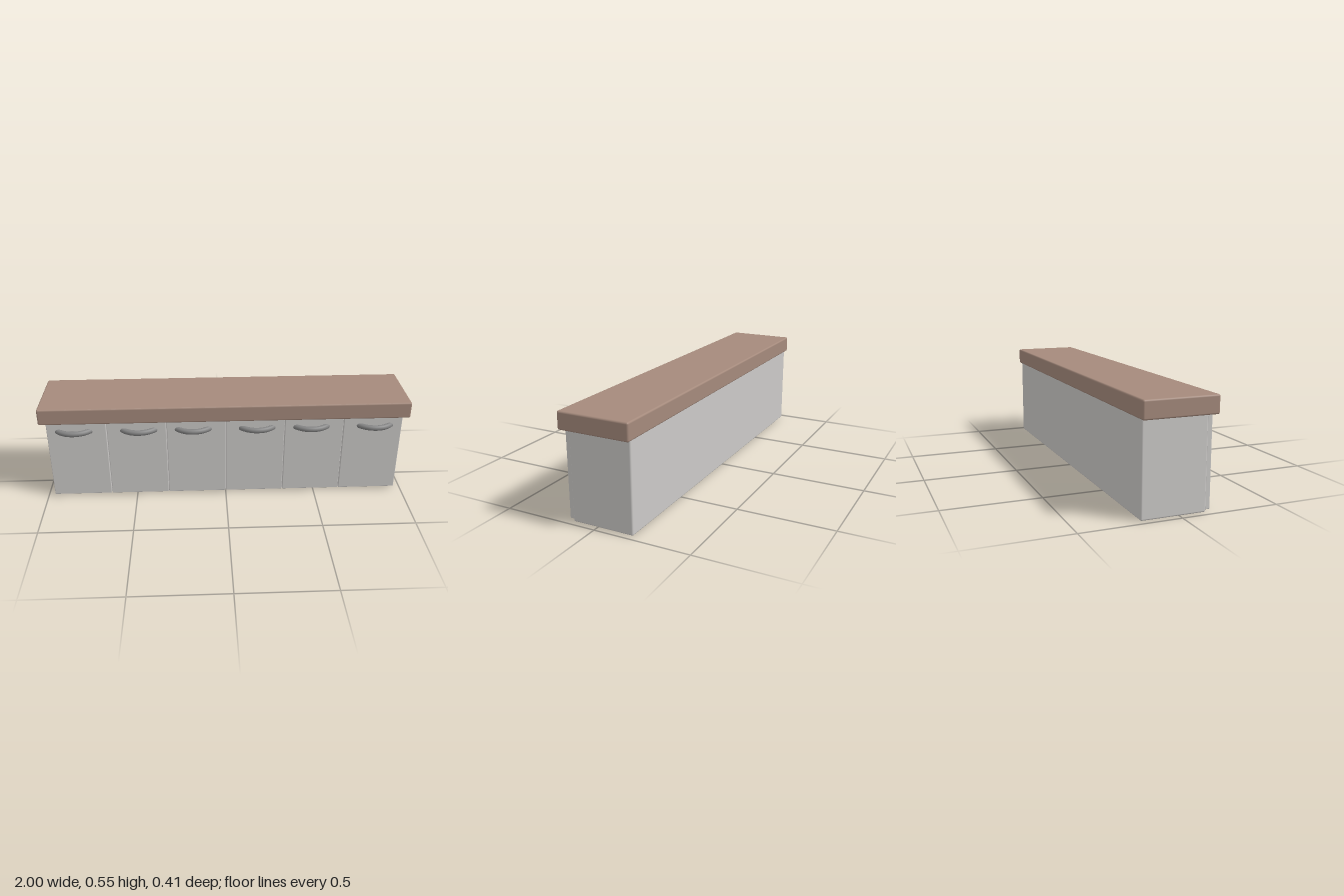
import * as THREE from 'three';
import { RoundedBoxGeometry } from 'three/addons/geometries/RoundedBoxGeometry.js';

export function createModel() {
  const model = new THREE.Group();
  model.name = 'kitchenCounter';

  const material = (name, color) => {
    const m = new THREE.MeshStandardMaterial({ color });
    m.name = name;
    return m;
  };
  const paint = material('pale grey paint', 0xcccac8);
  const wood = material('brown worktop', 0xa58a7c);
  const metal = material('grey metal', 0x858585);

  const add = (name, geometry, mat, parent = model) => {
    const mesh = new THREE.Mesh(geometry, mat);
    mesh.name = name;
    parent.add(mesh);
    return mesh;
  };

  // Softly bevelled box given by its minimum and maximum corners
  const box = (name, min, max, bevel, mat, parent) => {
    const size = max.map((v, i) => v - min[i]);
    const mesh = add(name, new RoundedBoxGeometry(...size, 2, bevel), mat, parent);
    mesh.position.set(...max.map((v, i) => (v + min[i]) / 2));
    return mesh;
  };

  // Carcass and overhanging worktop
  box('cabinetBody', [-0.97, 0, -0.193], [0.97, 0.47, 0.135], 0.008, paint);
  box('worktop', [-1, 0.461, -0.202], [1, 0.552, 0.176], 0.009, wood);

  // Bowed handle: an arc of round bar whose ends sink into the door
  const arc = THREE.MathUtils.degToRad(108);
  const handleGeometry = new THREE.TorusGeometry(0.12, 0.015, 14, 28, arc);
  handleGeometry.rotateZ(Math.PI / 2 - arc / 2);
  handleGeometry.rotateX(Math.PI / 2);

  // Six doors with narrow gaps, each with its handle
  const edges = [-0.965, -0.643, -0.321, 0, 0.321, 0.643, 0.965];
  const handleX = [-0.818, -0.47, -0.176, 0.171, 0.467, 0.815];
  handleX.forEach((x, i) => {
    const unit = new THREE.Group();
    unit.name = `doorUnit${i + 1}`;
    model.add(unit);
    box('door', [edges[i] + 0.002, 0.01, 0.134], [edges[i + 1] - 0.002, 0.462, 0.159], 0.003, paint, unit);
    add('handle', handleGeometry, metal, unit).position.set(x, 0.411, 0.069);
  });

  return model;
}
